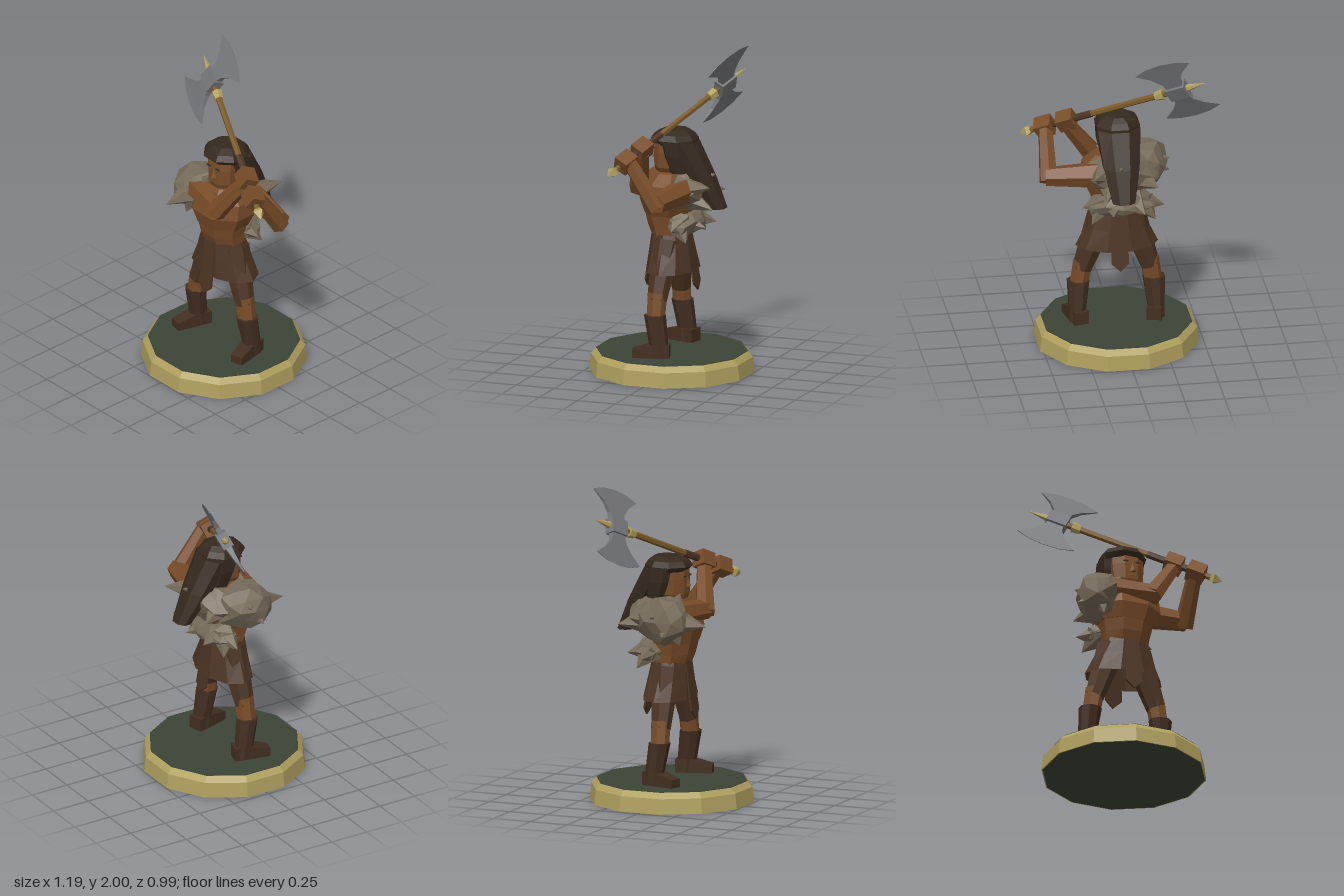
import * as THREE from 'three';

const mat = (name, color) => Object.assign(new THREE.MeshStandardMaterial({ color }), { name });
const V = (x, y, z) => new THREE.Vector3(x, y, z);
const CX = 0.025; // body centre line

export function createModel() {
  const model = new THREE.Group();
  model.name = 'axeWarrior';
  const skin = mat('skin', 0x784c28), leather = mat('leather', 0x4b3423), boot = mat('bootLeather', 0x432e20);
  const hair = mat('hair', 0x35291e), fur = mat('fur', 0x756a58), steel = mat('steel', 0x76777a);
  const gold = mat('gold', 0xaf9f5e), wood = mat('wood', 0x7a5a28), green = mat('baseGreen', 0x3c4436);
  const cloth = mat('skirtCloth', 0x4b3423);
  cloth.side = THREE.DoubleSide;

  // Facet a geometry and add it as a named mesh
  function add(name, geo, material, parent = model) {
    const g = geo.index ? geo.toNonIndexed() : geo;
    g.computeVertexNormals();
    const m = new THREE.Mesh(g, material);
    m.name = name;
    parent.add(m);
    return m;
  }

  // Horizontal polygon with a flat side to the front: [cx, y, cz, rx, rz]
  const ring = ([cx, y, cz, rx, rz], n) => Array.from({ length: n }, (_, i) => {
    const a = (i + 0.5) / n * Math.PI * 2;
    return V(cx + rx * Math.sin(a), y, cz + rz * Math.cos(a));
  });

  // Skin a stack of rings, listed from bottom to top
  function loft(specs, n = 8, capped = true) {
    const rings = specs.map(s => ring(s, n)), pos = [];
    const tri = (...p) => p.forEach(v => pos.push(v.x, v.y, v.z));
    for (let i = 0; i < n; i++) {
      const j = (i + 1) % n;
      for (let k = 0; k < rings.length - 1; k++) {
        const a = rings[k], b = rings[k + 1];
        tri(a[i], a[j], b[j]);
        tri(a[i], b[j], b[i]);
      }
      if (capped && i > 0 && i < n - 1) {
        const lo = rings[0], hi = rings[rings.length - 1];
        tri(lo[0], lo[j], lo[i]);
        tri(hi[0], hi[i], hi[j]);
      }
    }
    const g = new THREE.BufferGeometry();
    g.setAttribute('position', new THREE.Float32BufferAttribute(pos, 3));
    return g;
  }

  // Tapered prism from a to b; a zero end radius makes a spike
  function limb(name, a, b, r0, r1, material, n = 6, parent = model) {
    const d = b.clone().sub(a);
    const m = add(name, new THREE.CylinderGeometry(r1, r0, d.length(), n), material, parent);
    m.position.copy(a).add(b).multiplyScalar(0.5);
    m.quaternion.setFromUnitVectors(V(0, 1, 0), d.normalize());
    return m;
  }

  // Display base
  const R = 1 / Math.cos(Math.PI / 12);
  add('baseRim', loft([[CX, 0, 0, 0.497 * R, 0.497 * R], [CX, 0.095, 0, 0.486 * R, 0.486 * R],
    [CX, 0.13, 0, 0.456 * R, 0.456 * R]], 12), gold);
  add('baseTop', loft([[CX, 0.12, 0, 0.455 * R, 0.455 * R], [CX, 0.133, 0, 0.455 * R, 0.455 * R]], 12), green);
  add('baseUnderside', loft([[CX, -0.0005, 0, 0.49 * R, 0.49 * R], [CX, 0.004, 0, 0.49 * R, 0.49 * R]], 12), green);

  // Legs, boots and feet
  for (const s of [-1, 1]) {
    const x = o => CX + s * o;
    limb('thigh', V(x(0.09), 0.84, -0.005), V(x(0.212), 0.48, 0.018), 0.095, 0.062, leather, 7);
    limb('knee', V(x(0.205), 0.53, 0.016), V(x(0.233), 0.36, 0.02), 0.062, 0.058, skin, 7);
    add('bootShaft', loft([[x(0.243), 0.14, -0.015, 0.058, 0.06], [x(0.245), 0.22, -0.005, 0.056, 0.06],
      [x(0.236), 0.4, 0.022, 0.073, 0.067]]), boot);
    const foot = new THREE.BoxGeometry(0.095, 0.085, 0.23, 1, 1, 2);
    const p = foot.attributes.position;
    for (let i = 0; i < p.count; i++) {
      if (p.getZ(i) > 0.05) {
        if (p.getY(i) > 0) p.setY(i, 0.012);
        p.setX(i, p.getX(i) * 0.85);
      }
    }
    const f = add('foot', foot, boot);
    f.position.set(x(0.253), 0.173, 0.04);
    f.rotation.y = s * 0.25;
  }

  // Skirt with a hanging flap front and back
  add('skirt', loft([[CX, 0.65, -0.01, 0.258, 0.155], [CX, 0.78, -0.005, 0.195, 0.135],
    [CX, 0.885, 0, 0.155, 0.118]], 10, false), cloth);
  const flap = new THREE.Shape([[-0.045, 0.88], [-0.055, 0.57], [0, 0.52], [0.055, 0.57], [0.045, 0.88]]
    .map(([x, y]) => new THREE.Vector2(x, y - 0.88)));
  for (const s of [-1, 1]) {
    const m = add(s > 0 ? 'frontFlap' : 'backFlap',
      new THREE.ExtrudeGeometry(flap, { depth: 0.012, bevelEnabled: false }), leather);
    m.position.set(CX, 0.88, s > 0 ? 0.105 : -0.118);
    m.rotation.x = s > 0 ? -0.14 : 0.165;
  }

  // Torso, neck and head
  add('waist', loft([[CX, 0.86, 0, 0.15, 0.115], [CX, 0.93, 0.01, 0.16, 0.135], [CX, 1.02, 0.02, 0.18, 0.145]]), skin);
  add('chest', loft([[CX, 1.005, 0.015, 0.185, 0.15], [CX, 1.1, 0.01, 0.23, 0.185], [CX, 1.2, 0, 0.225, 0.165],
    [CX, 1.27, -0.01, 0.15, 0.11]]), skin);
  add('neck', loft([[CX, 1.24, -0.01, 0.09, 0.085], [CX, 1.33, 0, 0.07, 0.07]]), skin);
  add('head', loft([[0.034, 1.255, 0.02, 0.072, 0.07], [0.034, 1.3, 0.015, 0.104, 0.09],
    [0.033, 1.4, 0.01, 0.113, 0.097], [0.03, 1.485, 0, 0.112, 0.1]]), skin);
  limb('nose', V(0.043, 1.345, 0.098), V(0.04, 1.415, 0.09), 0.024, 0.006, skin, 4);
  for (const s of [-1, 1]) {
    const eye = add('eye', new THREE.BoxGeometry(0.032, 0.008, 0.006), hair);
    eye.position.set(0.036 + s * 0.04, 1.412, 0.1);
  }

  // Hair cap, side hair and long mane
  add('hairCap', loft([[CX, 1.445, -0.035, 0.14, 0.135], [CX, 1.475, -0.02, 0.146, 0.15], [CX, 1.51, -0.02, 0.125, 0.125],
    [CX, 1.535, -0.03, 0.075, 0.08]]), hair);
  add('sideHair', loft([[CX, 1.27, -0.08, 0.115, 0.1], [CX, 1.38, -0.055, 0.142, 0.115], [CX, 1.47, -0.04, 0.146, 0.125]]), hair);
  add('mane', loft([[CX, 1.055, -0.305, 0.075, 0.055], [CX, 1.25, -0.195, 0.12, 0.085],
    [CX, 1.46, -0.08, 0.145, 0.09]]), hair);

  // Shaggy fur: each vertex is pushed in or out by a hash of its position
  function furBlob(name, c, r, seed) {
    const g = new THREE.IcosahedronGeometry(1, 1), p = g.attributes.position;
    for (let i = 0; i < p.count; i++) {
      const v = new THREE.Vector3().fromBufferAttribute(p, i);
      const h = Math.sin(Math.round(v.x * 50) * 12.9 + Math.round(v.y * 50) * 78.2 + Math.round(v.z * 50) * 37.7 + seed) * 437.5;
      v.multiplyScalar(0.8 + 0.32 * (h - Math.floor(h))).multiply(r).add(c);
      p.setXYZ(i, v.x, v.y, v.z);
    }
    add(name, g, fur);
  }
  furBlob('shoulderFur', V(-0.155, 1.165, 0.03), V(0.155, 0.16, 0.19), 1);
  furBlob('backFur', V(0.02, 1.16, -0.12), V(0.23, 0.15, 0.14), 2);
  furBlob('lowerFur', V(0.01, 0.95, -0.09), V(0.225, 0.08, 0.125), 5);
  const tufts = [
    [-0.16, 1.14, 0.315, -0.15, 1.16, 0.1], [-0.32, 1.08, 0.08, -0.17, 1.13, 0.06],
    [-0.31, 1.2, 0.0, -0.15, 1.18, 0.02], [-0.17, 1.01, 0.14, -0.16, 1.12, 0.08],
    [-0.19, 1.31, 0.05, -0.14, 1.18, 0.03], [-0.03, 1.31, 0.08, -0.1, 1.2, 0.06],
    [0.3, 1.2, -0.1, 0.13, 1.19, -0.11], [0.21, 1.22, -0.32, 0.12, 1.18, -0.13],
    [-0.2, 1.12, -0.27, -0.1, 1.14, -0.12], [0.13, 1.06, -0.31, 0.08, 1.12, -0.13],
    [0.035, 1.27, -0.295, 0.03, 1.2, -0.12], [-0.265, 0.92, -0.08, -0.1, 0.96, -0.08],
    [0.25, 0.93, -0.08, 0.12, 0.96, -0.08], [-0.12, 0.93, -0.24, -0.07, 0.96, -0.09],
    [0.08, 0.93, -0.245, 0.05, 0.96, -0.09], [0.2, 0.85, -0.16, 0.12, 0.95, -0.08],
    [-0.2, 0.85, -0.14, -0.12, 0.95, -0.08],
  ];
  for (const [tx, ty, tz, bx, by, bz] of tufts) limb('furTuft', V(bx, by, bz), V(tx, ty, tz), 0.09, 0, fur, 5);

  // Arms
  limb('leftUpperArm', V(0.15, 1.17, -0.125), V(0.475, 1.155, -0.07), 0.085, 0.06, skin);
  limb('leftForearm', V(0.46, 1.12, -0.075), V(0.45, 1.41, 0.125), 0.06, 0.046, skin);
  limb('rightUpperArm', V(-0.12, 1.2, 0.1), V(0.175, 1.185, 0.17), 0.075, 0.062, skin);
  limb('rightForearm', V(0.135, 1.165, 0.175), V(0.32, 1.43, 0.085), 0.066, 0.048, skin);

  // Axe: local y runs up the shaft, local x across the blades
  const axe = new THREE.Group();
  axe.name = 'axe';
  model.add(axe);
  const up = V(-1.075, 0.485, -0.495).normalize();
  const side = V(0.2225, 0.345, -0.115).addScaledVector(up, -V(0.2225, 0.345, -0.115).dot(up)).normalize();
  axe.quaternion.setFromRotationMatrix(new THREE.Matrix4().makeBasis(side, up, side.clone().cross(up)));
  axe.position.set(-0.326, 1.752, -0.2175);
  const rod = (name, y0, y1, r0, r1, m, n = 6) => limb(name, V(0, y0, 0), V(0, y1, 0), r0, r1, m, n, axe);
  rod('shaft', -1.03, 0.06, 0.02, 0.02, wood);
  rod('grip', -0.99, -0.6, 0.023, 0.023, leather);
  rod('collar', -0.155, -0.1, 0.028, 0.036, gold);
  rod('topSpike', 0.06, 0.195, 0.025, 0, gold);
  rod('pommelCap', -1.045, -1.02, 0.04, 0.024, gold, 4);
  rod('pommelTip', -1.1, -1.045, 0, 0.04, gold, 4);
  add('axeSocket', new THREE.BoxGeometry(0.1, 0.13, 0.07), steel, axe);
  const half = [[0.03, 0.05], [0.09, 0.06], [0.15, 0.105], [0.213, 0.188], [0.245, 0.1]];
  const outline = [...half, [0.255, 0], ...half.map(([x, y]) => [x, -y]).reverse()];
  const bladeShape = new THREE.Shape(outline.map(p => new THREE.Vector2(...p)));
  for (const turn of [0, Math.PI]) {
    const g = new THREE.ExtrudeGeometry(bladeShape, { depth: 0.05, bevelEnabled: false });
    g.translate(0, 0, -0.025);
    const p = g.attributes.position;
    for (let i = 0; i < p.count; i++) p.setZ(i, p.getZ(i) * Math.max(0.06, 1 - p.getX(i) / 0.24));
    add('axeBlade', g, steel, axe).rotation.y = turn;
  }

  // Hands gripping the shaft
  for (const [name, y] of [['rightHand', -0.775], ['leftHand', -0.925]]) {
    add(name, new THREE.BoxGeometry(0.095, 0.11, 0.095), skin, axe).position.set(0, y, 0);
  }
  return model;
}
